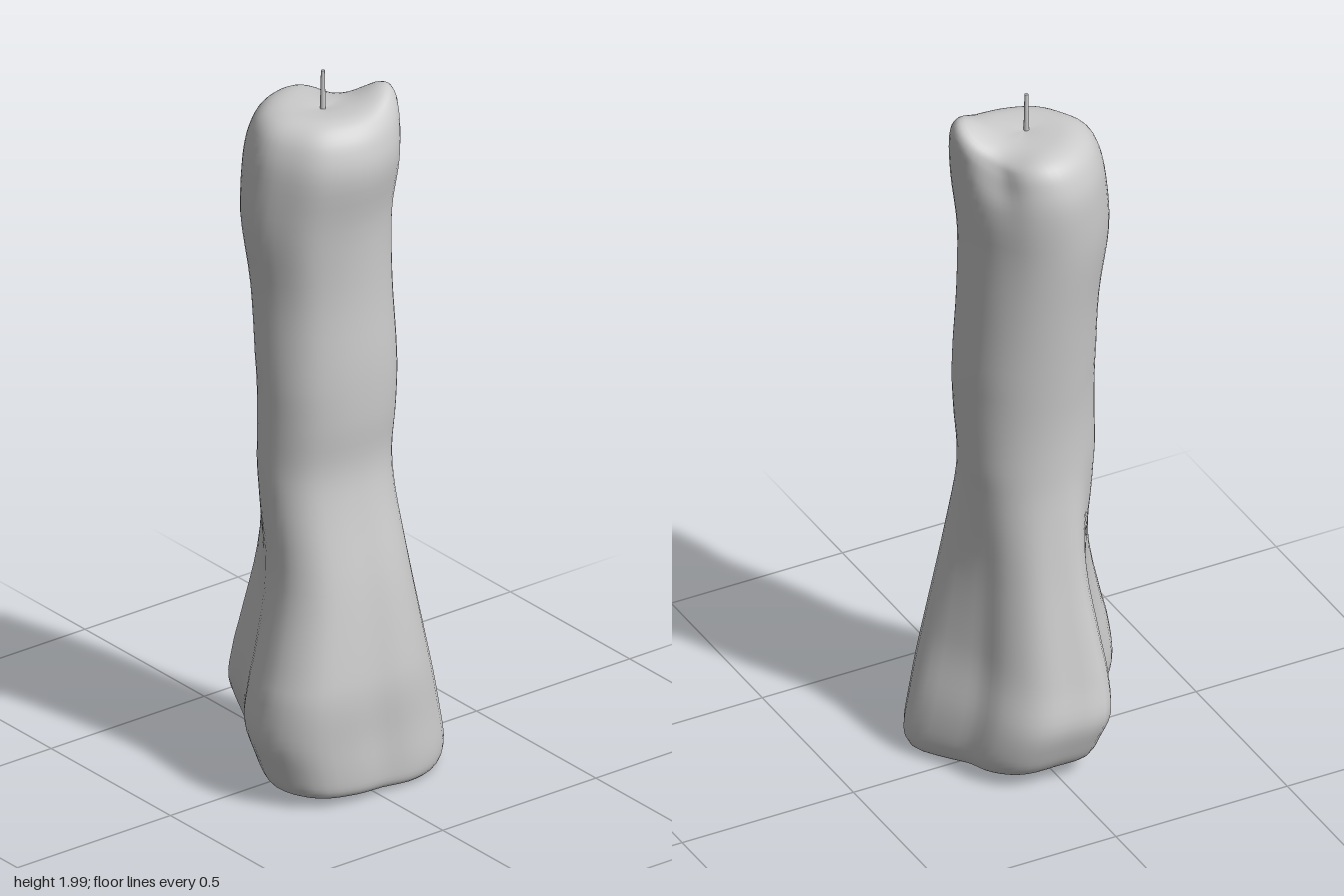
import * as THREE from 'three';

// Cross-section outlines: 16 radii, starting at +x and turning towards +z
const OUTLINES = [
  // flared lower end
  [.252, .275, .31, .303, .25, .205, .21, .275, .257, .258, .235, .212, .242, .305, .30, .277],
  // shaft
  [.17, .17, .175, .175, .175, .17, .165, .165, .165, .165, .165, .165, .168, .175, .185, .178],
  // upper head
  [.19, .19, .2, .205, .22, .215, .21, .21, .21, .2, .185, .18, .182, .195, .205, .195],
  // top plateau, notched at the back
  [.19, .19, .2, .205, .22, .215, .21, .21, .205, .18, .14, .14, .175, .2, .205, .195],
];

// Rows from underside to top: y, xMin, xMax, zMin, zMax, outline (fractional = blend)
const ROWS = [
  [.075, .03, .03, 0, 0, 0],
  [.07, -.07, .10, -.10, .09, 0],
  [.045, -.14, .18, -.19, .18, 0],
  [.032, -.18, .22, -.245, .22, 0],
  [.05, -.215, .243, -.276, .243, 0],
  [.10, -.24, .25, -.287, .262, 0],
  [.19, -.263, .252, -.272, .285, 0],
  [.30, -.242, .256, -.242, .276, .05],
  [.40, -.22, .247, -.22, .25, .15],
  [.60, -.177, .216, -.185, .203, .45],
  [.80, -.147, .172, -.166, .196, .85],
  [.92, -.14, .156, -.168, .196, 1],
  [1.05, -.143, .165, -.176, .195, 1],
  [1.2, -.157, .166, -.18, .195, 1],
  [1.4, -.18, .156, -.172, .196, 1.3],
  [1.6, -.204, .163, -.167, .22, 1.8],
  [1.75, -.212, .187, -.176, .212, 2.2],
  [1.83, -.198, .175, -.182, .194, 2.7],
  [1.875, -.172, .148, -.178, .165, 3],
  [1.895, -.13, .115, -.15, .12, 3],
  [1.896, -.06, .06, -.07, .06, 3],
  [1.89, .01, .01, .005, .005, 3],
];

const SEGMENTS = 56, STEPS = 4;

function catmull(a, b, c, d, t) {
  return b + .5 * t * (c - a + t * (2 * a - 5 * b + 4 * c - d + t * (3 * (b - c) + d - a)));
}

// Smooth closed outline sampled at SEGMENTS angles, blended between two neighbours
function outline(w) {
  const k = Math.min(Math.max(Math.floor(w), 0), 2);
  const f = Math.min(Math.max(w - k, 0), 1);
  const r = OUTLINES[k].map((v, i) => THREE.MathUtils.lerp(v, OUTLINES[k + 1][i], f));
  const points = [];
  for (let j = 0; j < SEGMENTS; j++) {
    const u = j / SEGMENTS * 16, i = Math.floor(u);
    const radius = catmull(r[(i + 15) % 16], r[i], r[(i + 1) % 16], r[(i + 2) % 16], u - i);
    const angle = j / SEGMENTS * Math.PI * 2;
    points.push([radius * Math.cos(angle), radius * Math.sin(angle)]);
  }
  return points;
}

function boneGeometry() {
  const positions = [], index = [];
  const last = ROWS.length - 1;
  const count = last * STEPS;
  const { mapLinear, smoothstep } = THREE.MathUtils;

  for (let s = 0; s <= count; s++) {
    const i = Math.min(Math.floor(s / STEPS), last - 1), t = s / STEPS - i;
    const [y, x0, x1, z0, z1, w] = ROWS[i].map((v, n) => catmull(
      ROWS[Math.max(i - 1, 0)][n], v, ROWS[i + 1][n], ROWS[Math.min(i + 2, last)][n], t));
    const ring = outline(w);
    const xs = ring.map(p => p[0]), zs = ring.map(p => p[1]);
    const ax = Math.min(...xs), bx = Math.max(...xs), az = Math.min(...zs), bz = Math.max(...zs);
    const low = 1 - smoothstep(y, .05, .3), high = smoothstep(y, 1.7, 1.88);
    for (const [px, pz] of ring) {
      const x = mapLinear(px, ax, bx, x0, x1), z = mapLinear(pz, az, bz, z0, z1);
      // underside tilts down to the back left; the top rises into a lobe there
      const tilt = low * (.07 * z - .06 * x);
      const lobe = .045 * Math.exp(-((x - .07) ** 2 + (z + .16) ** 2) / .006);
      const dip = .035 * Math.exp(-((x + .1) ** 2 + (z + .13) ** 2) / .005);
      positions.push(x, y + tilt + high * (lobe - dip), z);
    }
  }
  for (let s = 0; s < count; s++) {
    for (let j = 0; j < SEGMENTS; j++) {
      const k = (j + 1) % SEGMENTS;
      const a = s * SEGMENTS + j, b = s * SEGMENTS + k;
      const c = a + SEGMENTS, d = b + SEGMENTS;
      index.push(a, c, b, b, c, d);
    }
  }
  const geometry = new THREE.BufferGeometry();
  geometry.setAttribute('position', new THREE.Float32BufferAttribute(positions, 3));
  geometry.setIndex(index);
  geometry.computeVertexNormals();
  return geometry;
}

export function createModel() {
  const group = new THREE.Group();
  group.name = 'boneWithPin';
  const material = new THREE.MeshStandardMaterial({ color: 0xcccccc });

  // Bone: one smooth loft from flared foot to rounded head
  const bone = new THREE.Mesh(boneGeometry(), material);
  bone.name = 'bone';
  group.add(bone);

  // Thin pin standing in the head
  const pin = new THREE.Mesh(new THREE.CylinderGeometry(.005, .008, .13, 10), material);
  pin.name = 'pin';
  pin.position.set(.01, 1.935, .01);
  group.add(pin);

  return group;
}
